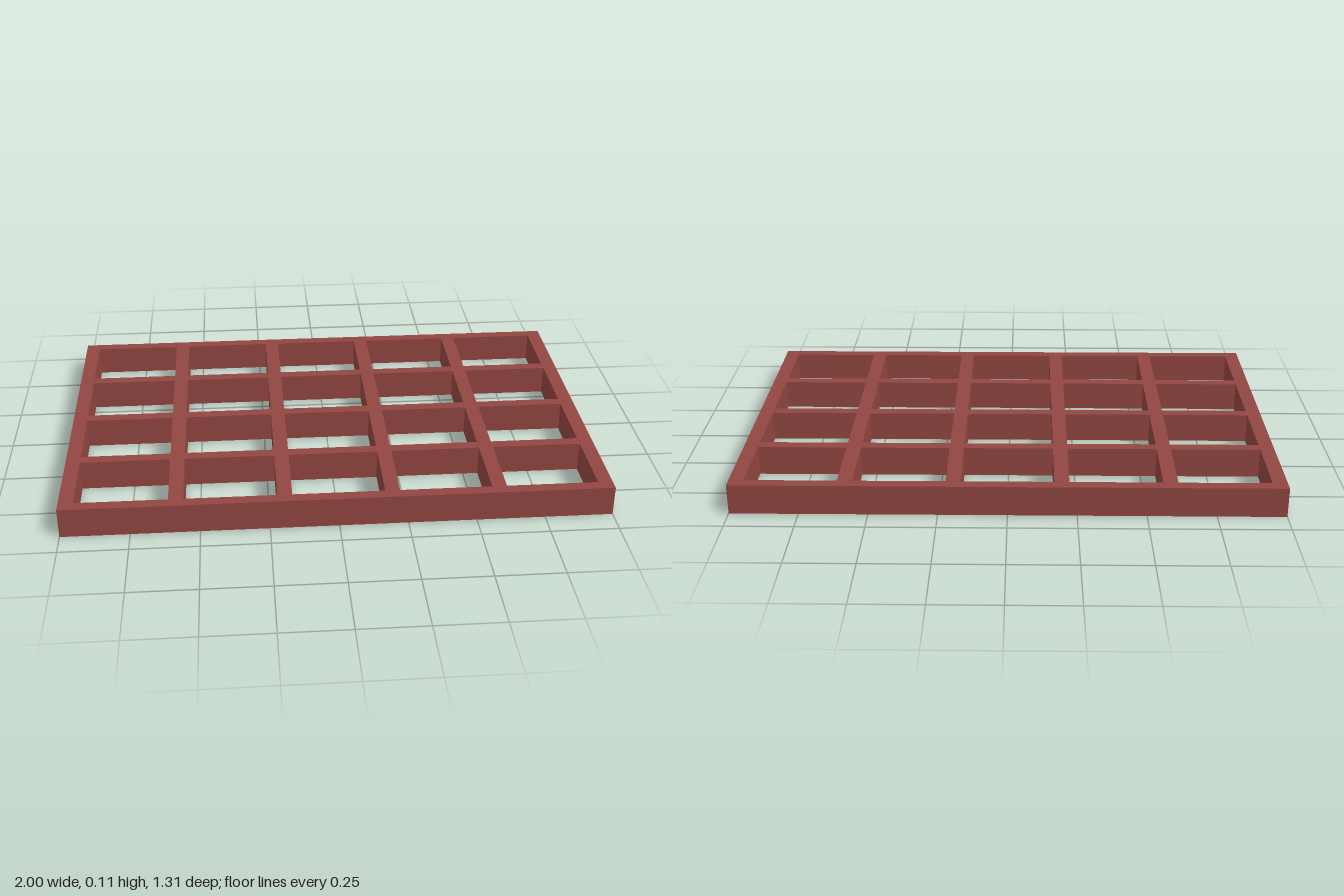
import * as THREE from 'three';

const WIDTH = 2, DEPTH = 1.312, HEIGHT = 0.113;
const COLS = 5, ROWS = 4;
const BAR_X = 0.054, BAR_Z = 0.043; // bar thickness along x and z

// Rectangle outline with its lower corner at (x, y)
function rectangle(path, x, y, w, h) {
  path.moveTo(x, y);
  path.lineTo(x + w, y);
  path.lineTo(x + w, y + h);
  path.lineTo(x, y + h);
  path.closePath();
  return path;
}

export function createModel() {
  const group = new THREE.Group();
  group.name = 'latticePanel';

  // Outer frame outline
  const outline = rectangle(new THREE.Shape(), -WIDTH / 2, -DEPTH / 2, WIDTH, DEPTH);

  // Even grid of openings between the bars
  const pitchX = (WIDTH - BAR_X) / COLS;
  const pitchZ = (DEPTH - BAR_Z) / ROWS;
  for (let c = 0; c < COLS; c++) {
    for (let r = 0; r < ROWS; r++) {
      const x = -WIDTH / 2 + BAR_X + c * pitchX;
      const y = -DEPTH / 2 + BAR_Z + r * pitchZ;
      outline.holes.push(rectangle(new THREE.Path(), x, y, pitchX - BAR_X, pitchZ - BAR_Z));
    }
  }

  // Extrude, then lay flat on the ground
  const geometry = new THREE.ExtrudeGeometry(outline, { depth: HEIGHT, bevelEnabled: false });
  geometry.rotateX(-Math.PI / 2);

  const lattice = new THREE.Mesh(geometry, new THREE.MeshStandardMaterial({ color: 0x914640 }));
  lattice.name = 'lattice';
  group.add(lattice);
  return group;
}
